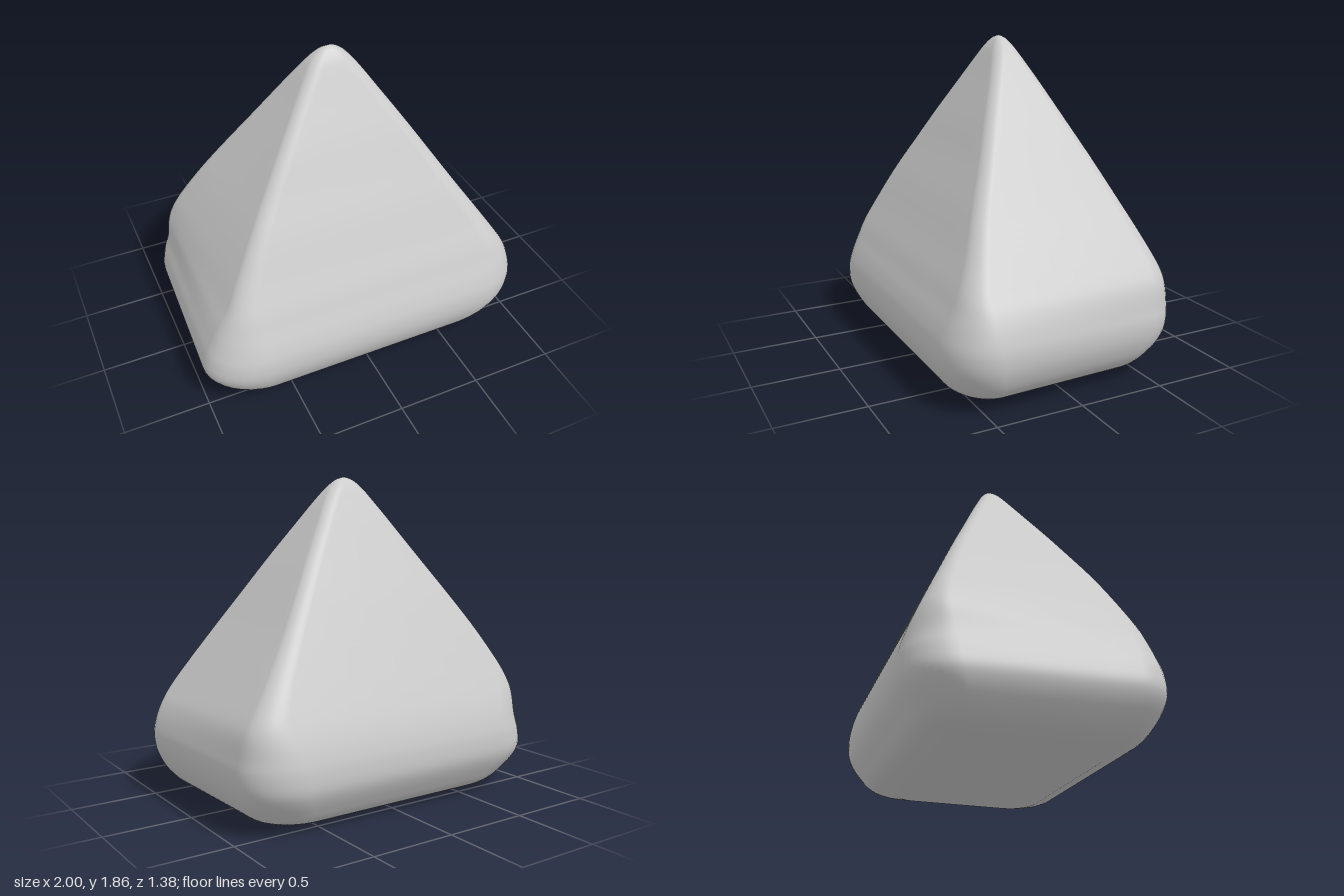
import * as THREE from 'three';

// Cross-sections from base to tip: y, xMin, xMax, zMin, zMax, corner radius
const SECTIONS = [
  [0, -0.68, 0.64, -0.43, 0.44, 0.16],
  [0.05, -0.84, 0.82, -0.55, 0.57, 0.22],
  [0.13, -0.94, 0.92, -0.62, 0.64, 0.26],
  [0.24, -1.0, 0.98, -0.68, 0.685, 0.27],
  [0.35, -0.985, 1.0, -0.69, 0.69, 0.26],
  [0.45, -0.945, 0.985, -0.675, 0.665, 0.23],
  [0.55, -0.895, 0.945, -0.645, 0.625, 0.18],
  [0.65, -0.835, 0.88, -0.605, 0.585, 0.13],
  [0.8, -0.755, 0.78, -0.54, 0.515, 0.1],
  [1.0, -0.64, 0.645, -0.452, 0.425, 0.08],
  [1.2, -0.515, 0.515, -0.363, 0.328, 0.07],
  [1.4, -0.385, 0.385, -0.27, 0.235, 0.065],
  [1.6, -0.25, 0.25, -0.178, 0.137, 0.06],
  [1.72, -0.168, 0.168, -0.12, 0.08, 0.06],
  [1.79, -0.115, 0.112, -0.085, 0.045, 0.055],
  [1.835, -0.063, 0.06, -0.053, 0.013, 0.032],
  [1.852, -0.022, 0.02, -0.031, -0.009, 0.01],
];
const CORNER_STEPS = 10;
const EDGE_STEPS = 8;
const ROWS = 96;

// Slight widening or narrowing of the section towards the back
function backSkew(y, x) {
  const belly = -0.04 * (1 - THREE.MathUtils.smoothstep(y, 0.4, 0.65));
  const bulge = x < 0
    ? 0.045 * THREE.MathUtils.smoothstep(y, 0.45, 0.75) * (1 - THREE.MathUtils.smoothstep(y, 0.9, 1.6))
    : 0;
  return belly + bulge;
}

// Rounded rectangle loop, with corners slightly longer along x
function sectionLoop([y, x0, x1, z0, z1, r]) {
  const rx = Math.min(r * 1.15, (x1 - x0) * 0.48);
  const rz = Math.min(r * 0.9, (z1 - z0) * 0.48);
  const corners = [[x1 - rx, z1 - rz], [x0 + rx, z1 - rz], [x0 + rx, z0 + rz], [x1 - rx, z0 + rz]];
  const loop = [];
  corners.forEach(([cx, cz], k) => {
    for (let i = 0; i <= CORNER_STEPS; i++) {
      const a = (k + i / CORNER_STEPS) * Math.PI / 2;
      loop.push([cx + rx * Math.cos(a), cz + rz * Math.sin(a)]);
    }
    // Straight run to the start of the next corner
    const [nx, nz] = corners[(k + 1) % 4];
    const b = (k + 1) * Math.PI / 2;
    const from = loop[loop.length - 1];
    const to = [nx + rx * Math.cos(b), nz + rz * Math.sin(b)];
    for (let i = 1; i < EDGE_STEPS; i++) {
      const t = i / EDGE_STEPS;
      loop.push([from[0] + (to[0] - from[0]) * t, from[1] + (to[1] - from[1]) * t]);
    }
  });
  return loop.map(([x, z]) => {
    const t = THREE.MathUtils.clamp((0.5 - z), 0, 1);
    return [x * (1 + backSkew(y, x) * t), y, z];
  });
}

function bodyGeometry() {
  // Smooth the section values along the height
  const spline = (i) => new THREE.CatmullRomCurve3(
    SECTIONS.map((s) => new THREE.Vector3(s[i], s[i + 1], s[i + 2])), false, 'catmullrom', 0.5);
  const lower = spline(0), upper = spline(3);
  const loops = [];
  for (let j = 0; j <= ROWS; j++) {
    const a = lower.getPoint(j / ROWS), b = upper.getPoint(j / ROWS);
    loops.push(sectionLoop([Math.max(0, a.x), a.y, a.z, b.x, b.y, b.z]));
  }
  // Inner loop keeps the underside flat
  loops.unshift(loops[0].map(([x, , z]) => [x * 0.9, 0, z * 0.9]));

  const n = loops[0].length;
  const positions = loops.flat(2);
  const index = [];
  for (let j = 0; j < loops.length - 1; j++) {
    for (let i = 0; i < n; i++) {
      const a = j * n + i, b = j * n + (i + 1) % n;
      index.push(a, a + n, b, b, a + n, b + n);
    }
  }
  // Close the underside and the tip
  const base = loops.length * n, tip = base + 1, last = base - n;
  positions.push(-0.02, 0, 0, 0, 1.856, -0.02);
  for (let i = 0; i < n; i++) {
    const next = (i + 1) % n;
    index.push(base, i, next, last + i, tip, last + next);
  }
  const geometry = new THREE.BufferGeometry();
  geometry.setAttribute('position', new THREE.Float32BufferAttribute(positions, 3));
  geometry.setIndex(index);
  geometry.computeVertexNormals();
  return geometry;
}

export function createModel() {
  const group = new THREE.Group();
  group.name = 'roundedPyramid';
  const body = new THREE.Mesh(bodyGeometry(), new THREE.MeshStandardMaterial({ color: 0xcccccc }));
  body.name = 'pyramidBody';
  group.add(body);
  return group;
}
